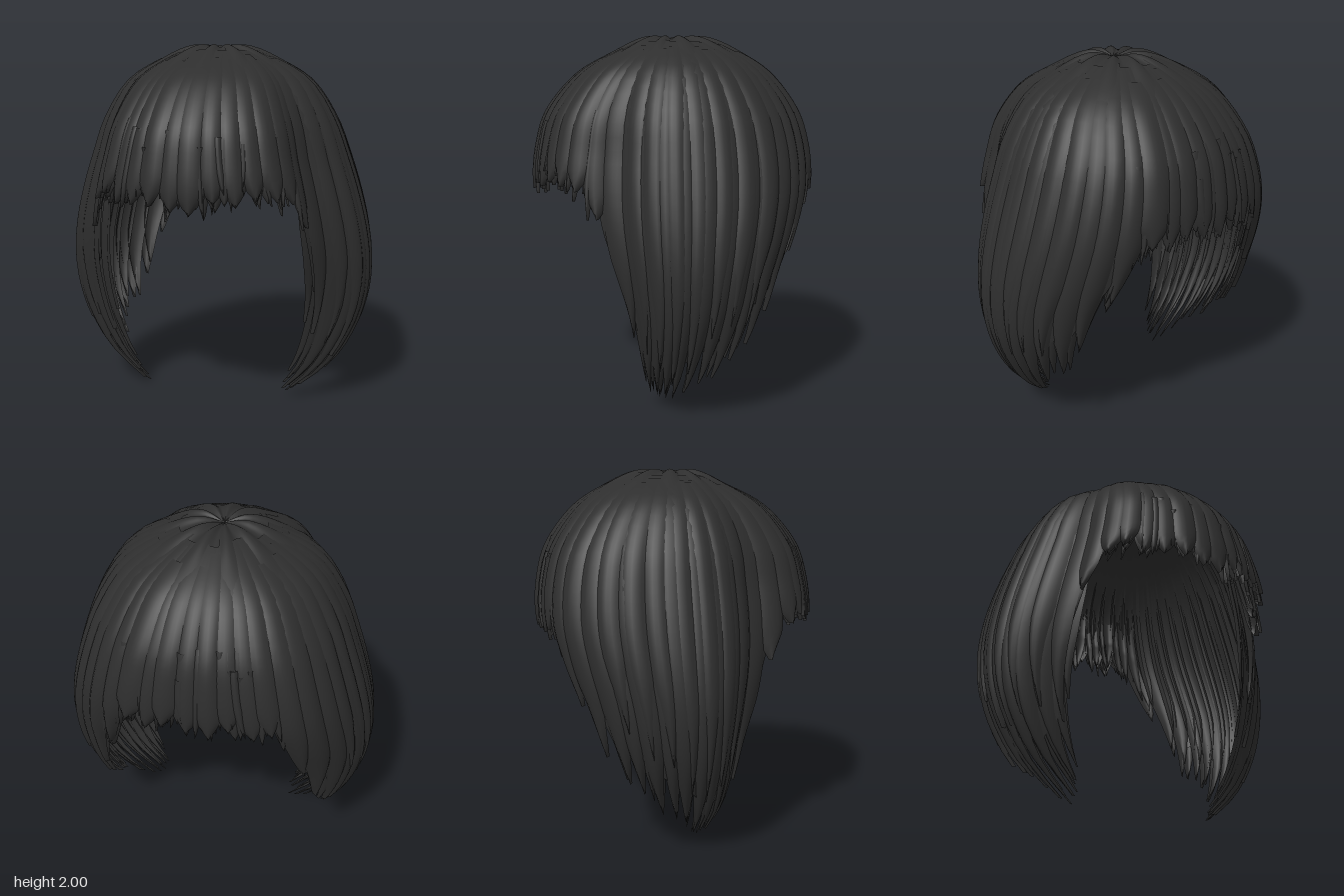
import * as THREE from 'three';
import { mergeGeometries } from 'three/addons/utils/BufferGeometryUtils.js';

// Head profile from crown to tips: height, side radius, front radius, back radius
const PROFILE = [
  1.965, 0, 0, 0,
  1.985, 0.14, 0.13, 0.17,
  1.92, 0.33, 0.3, 0.36,
  1.8, 0.52, 0.52, 0.55,
  1.6, 0.65, 0.69, 0.7,
  1.4, 0.725, 0.75, 0.755,
  1.2, 0.79, 0.765, 0.765,
  1.0, 0.84, 0.73, 0.72,
  0.8, 0.865, 0.65, 0.65,
  0.6, 0.85, 0.56, 0.59,
  0.4, 0.785, 0.49, 0.52,
  0.2, 0.66, 0.41, 0.42,
  0, 0.43, 0.29, 0.25,
];
const LAST = PROFILE.length / 4 - 1;
const profile = new THREE.CubicInterpolant(
  Array.from({ length: LAST + 1 }, (_, i) => i), PROFILE, 4, new Float32Array(4));

// Hem height by angle in degrees from the front (0) round to the back (180)
const HEM = [[0, 1.14], [20, 1.19], [38, 1.19], [46, 1.12], [51, 1.04], [54, 0.85], [56, 0.64], [58, 0.4],
  [62, 0.1], [72, 0], [88, 0.02], [98, 0.1], [114, 0.2], [124, 0.36], [132, 0.34], [139, 0.58],
  [143, 0.7], [147, 0.96], [153, 1.12], [181, 1.16]];

function hemAt(deg) {
  const a = Math.abs(THREE.MathUtils.euclideanModulo(deg + 180, 360) - 180);
  const i = Math.max(1, HEM.findIndex((h) => h[0] > a));
  const [a0, y0] = HEM[i - 1], [a1, y1] = HEM[i];
  return y0 + (y1 - y0) * (a - a0) / (a1 - a0);
}

// Profile position whose height is y
function stepAt(y) {
  let lo = 1, hi = LAST;
  for (let i = 0; i < 24; i++) {
    const mid = (lo + hi) / 2;
    if (profile.evaluate(mid)[0] > y) lo = mid; else hi = mid;
  }
  return hi;
}

// Point on the hair surface: drawn in beside the face, full behind the ears
function surfacePoint(deg, u, scale) {
  const [y, side, front, back] = profile.evaluate(u);
  const a = THREE.MathUtils.degToRad(deg);
  const c = Math.cos(a);
  const fromFront = THREE.MathUtils.radToDeg(Math.acos(c));
  const low = Math.min(1, u / 5);
  const shape = 1 - 0.13 * low * Math.exp(-(((fromFront - 60) / 14) ** 2))
    + (c < 0 ? 0.07 * low * Math.sin(2 * a) ** 2 : 0);
  const k = scale * shape;
  return [Math.sin(a) * side * k, y, c * (c > 0 ? front : back) * k + 0.05 * (u / LAST) ** 2];
}

// Smooth sheet from a rule of (across, down), both 0 to 1
function sheet(nx, ny, rule) {
  const pos = [], index = [];
  for (let i = 0; i <= nx; i++) {
    for (let j = 0; j <= ny; j++) {
      pos.push(...rule(i / nx, j / ny));
      if (i < nx && j < ny) {
        const a = i * (ny + 1) + j, b = a + ny + 1;
        index.push(a, a + 1, b, a + 1, b + 1, b);
      }
    }
  }
  const g = new THREE.BufferGeometry();
  g.setAttribute('position', new THREE.Float32BufferAttribute(pos, 3));
  g.setIndex(index);
  g.computeVertexNormals();
  return g;
}

// One tapering lock with a rounded cross-section; tuck draws its tip inward
function lock({ deg, half, top = 0.15, end, scale = 1, bulge = 0.025, taper = 0.3, sway = 0, tuck = 0 }) {
  const uEnd = stepAt(Math.max(0, end));
  return sheet(6, 24, (s, t) => {
    const x = s * 2 - 1;
    const u = top + (uEnd - top) * t;
    const narrow = t < 1 - taper ? 1 : Math.pow((1 - t) / taper, 0.75);
    const round = (bulge * (1 - x * x) - 0.012 * x * x) * Math.min(1, u / 5);
    return surfacePoint(deg + x * half * narrow + sway * t * t, u, scale + round - tuck * Math.min(1, t * 2));
  });
}

export function createModel() {
  const group = new THREE.Group();
  const hair = new THREE.MeshStandardMaterial({ color: 0x2e2e2e, side: THREE.DoubleSide });
  hair.name = 'charcoal hair';

  let seed = 7;
  const rand = (a, b) => {
    seed = (seed * 16807) % 2147483647;
    return a + (b - a) * seed / 2147483647;
  };
  const add = (name, geometry) => {
    const mesh = new THREE.Mesh(geometry, hair);
    mesh.name = name;
    group.add(mesh);
  };
  const layer = (name, count, make) =>
    add(name, mergeGeometries(Array.from({ length: count }, (_, i) => lock(make(i)))));

  // Continuous cap beneath the locks, with a few soft ridges fanning from the crown
  add('hairCap', sheet(180, 40, (s, t) => {
    const deg = s * 360;
    const hem = hemAt(deg);
    const u = stepAt(hem + (hem > 1 ? 0.18 : 0.28)) * t;
    const p = surfacePoint(deg, u, 0.985);
    p[1] += 0.012 * Math.cos(s * Math.PI * 22) * Math.exp(-((u - 1.4) ** 2));
    return p;
  }));

  // Broad locks falling from below the crown
  layer('outerLocks', 46, (i) => {
    const deg = (i + 0.5) * 360 / 46 + rand(-1, 1);
    const hem = hemAt(deg);
    return { deg, half: rand(5, 6.5), top: rand(1.2, 2.2), end: hem + rand(-0.01, 0.06),
      scale: rand(0.982, 1), taper: hem > 1 ? 0.14 : 0.26 };
  });

  // Layer showing between the broad locks
  layer('underLocks', 52, (i) => {
    const deg = i * 360 / 52 + rand(-1, 1);
    const hem = hemAt(deg);
    return { deg, half: rand(4, 5.5), top: 1.5, end: hem + rand(-0.02, 0.08), scale: 0.97,
      bulge: 0.015, taper: hem > 1 ? 0.14 : 0.24, sway: rand(-1, 1) };
  });

  // Shorter locks over both sides and inner locks narrowing the face opening
  for (const [name, sign] of [['left', 1], ['right', -1]]) {
    layer(name + 'SideLayer', 7, (i) => {
      const deg = 68 + i * 9;
      return { deg: sign * deg, half: 5, top: 2, end: hemAt(deg) + rand(0.15, 0.42), scale: 1.004, bulge: 0.02 };
    });
    layer(name + 'InnerLocks', 6, (i) => {
      const deg = 58 + i * 5;
      return { deg: sign * deg, half: 5, top: 4, end: hemAt(deg) + rand(0.03, 0.1),
        scale: 0.97, bulge: 0.015, tuck: 0.07 - i * 0.008 };
    });
  }

  // Ragged fine tufts along the fringe and nape
  const tufts = (name, middle, spread, count, tuck) => layer(name, count, (i) => {
    const deg = middle + ((i + 0.5) / count * 2 - 1) * spread;
    return { deg, half: rand(1.4, 2.8), top: rand(3.8, 4.6), end: hemAt(deg) + rand(-0.03, 0.1),
      scale: 0.99 + rand(-0.015, 0.015), bulge: 0.012, taper: rand(0.25, 0.5), sway: rand(-2.5, 2.5), tuck };
  });
  tufts('fringeTufts', 0, 50, 38, 0);
  tufts('innerFringeTufts', 0, 48, 20, 0.06);
  tufts('napeTufts', 180, 36, 30, 0);
  tufts('innerNapeTufts', 180, 36, 18, 0.06);

  return group;
}
